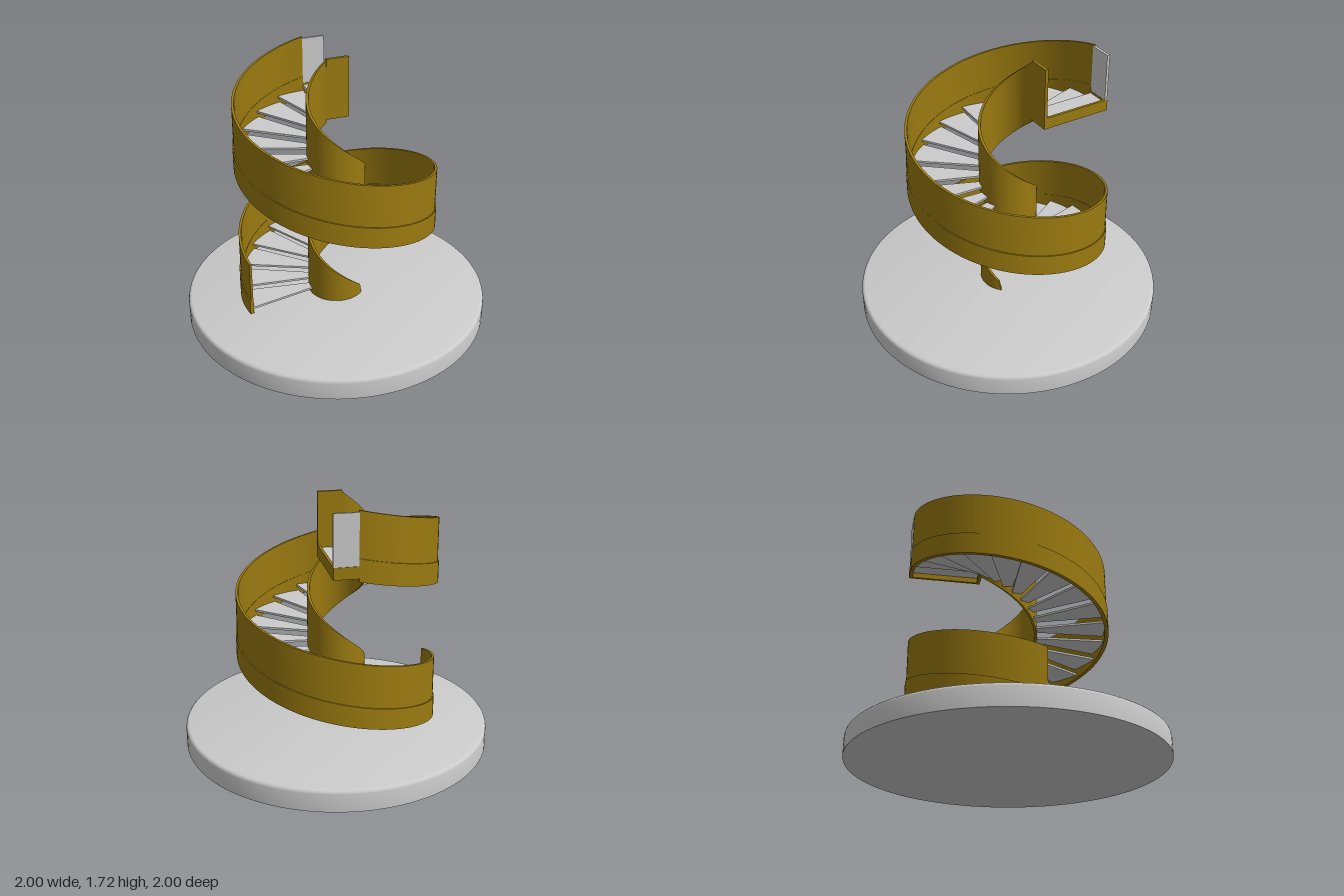
import * as THREE from 'three';
import { toCreasedNormals } from 'three/addons/utils/BufferGeometryUtils.js';

const STEPS = 26;
const END = 460;              // angle of the landing edge, degrees from -x turning to the back
const STEP = END / STEPS;
const RISE = 0.932 / 360;     // height gained per degree

const grey = new THREE.MeshStandardMaterial({ color: 0xcccccc });
const gold = new THREE.MeshStandardMaterial({ color: 0x9a7a10 });

// Solid swept round the axis: a rectangular section whose bottom and top follow the angle
function sweep(rIn, rOut, bottom, top, from, to, segments) {
  const pos = [];
  const section = (deg) => {
    const a = THREE.MathUtils.degToRad(deg);
    const at = (r, y) => [-r * Math.cos(a), y, -r * Math.sin(a)];
    const b = bottom(deg), t = top(deg);
    return [at(rIn, b), at(rOut, b), at(rOut, t), at(rIn, t)];
  };
  const quad = (p, q, r, s) => pos.push(...p, ...q, ...r, ...p, ...r, ...s);
  let A = section(from);
  quad(A[3], A[2], A[1], A[0]);
  for (let i = 1; i <= segments; i++) {
    const B = section(from + (to - from) * i / segments);
    for (let j = 0; j < 4; j++) {
      const k = (j + 1) % 4;
      quad(A[j], A[k], B[k], B[j]);
    }
    A = B;
  }
  quad(A[0], A[1], A[2], A[3]);
  const g = new THREE.BufferGeometry();
  g.setAttribute('position', new THREE.Float32BufferAttribute(pos, 3));
  return toCreasedNormals(g, 0.6);
}

export function createModel() {
  const model = new THREE.Group();
  model.name = 'spiralStaircase';
  const add = (parent, name, geometry, material) => {
    const mesh = new THREE.Mesh(geometry, material);
    mesh.name = name;
    parent.add(mesh);
    return mesh;
  };
  const slope = (y0) => (deg) => y0 + RISE * deg;

  // Round base with a softened top edge
  const profile = [[0, 0], [1, 0], [1, 0.118], [0.997, 0.129], [0.989, 0.137], [0.978, 0.14], [0, 0.14]]
    .map(([x, y]) => new THREE.Vector2(x, y));
  add(model, 'base', toCreasedNormals(new THREE.LatheGeometry(profile, 96), 0.6), grey);

  // Outer stringer with a thinner solid balustrade above it
  add(model, 'outerStringer', sweep(0.625, 0.65, slope(0.1), slope(0.24), 0, END, 160), gold);
  add(model, 'outerBalustrade', sweep(0.627, 0.643, slope(0.235), slope(0.52), 0, END, 160), gold);

  // Inner wall, running on past the first step until it tapers into the base
  const innerStart = -125;
  add(model, 'innerWall', sweep(0.17, 0.187,
    (d) => Math.max(0.06, 0.1 + RISE * d),
    (d) => Math.min(0.52 + RISE * d, 0.13 + 0.014 * (d - innerStart)),
    innerStart, END, 200), gold);

  // Open wedge treads
  const treads = new THREE.Group();
  treads.name = 'treads';
  model.add(treads);
  for (let i = 0; i < STEPS; i++) {
    const y = 0.185 + RISE * STEP * i;
    const last = i === STEPS - 1;
    add(treads, 'tread', sweep(0.18, 0.632, () => y - 0.014, () => y,
      i * STEP, (i + 1) * STEP + (last ? 0 : 1.5), 5), grey);
  }

  // Landing, square to the end of the flight
  const landing = new THREE.Group();
  landing.name = 'landing';
  landing.rotation.y = -THREE.MathUtils.degToRad(END - 450);
  model.add(landing);
  const box = (name, material, x0, x1, y0, y1, z0, z1) => {
    const m = add(landing, name, new THREE.BoxGeometry(x1 - x0, y1 - y0, z1 - z0), material);
    m.position.set((x0 + x1) / 2, (y0 + y1) / 2, (z0 + z1) / 2);
  };
  box('landingFloor', grey, 0, 0.14, 1.345, 1.372, -0.63, -0.185);
  box('landingFascia', gold, 0.135, 0.152, 1.31, 1.385, -0.648, -0.17);
  box('landingOuterStringer', gold, 0, 0.135, 1.31, 1.385, -0.648, -0.625);
  box('landingOuterPanel', grey, 0, 0.152, 1.385, 1.70, -0.645, -0.627);
  box('landingInnerPanel', gold, 0, 0.153, 1.31, 1.72, -0.19, -0.169);

  return model;
}
